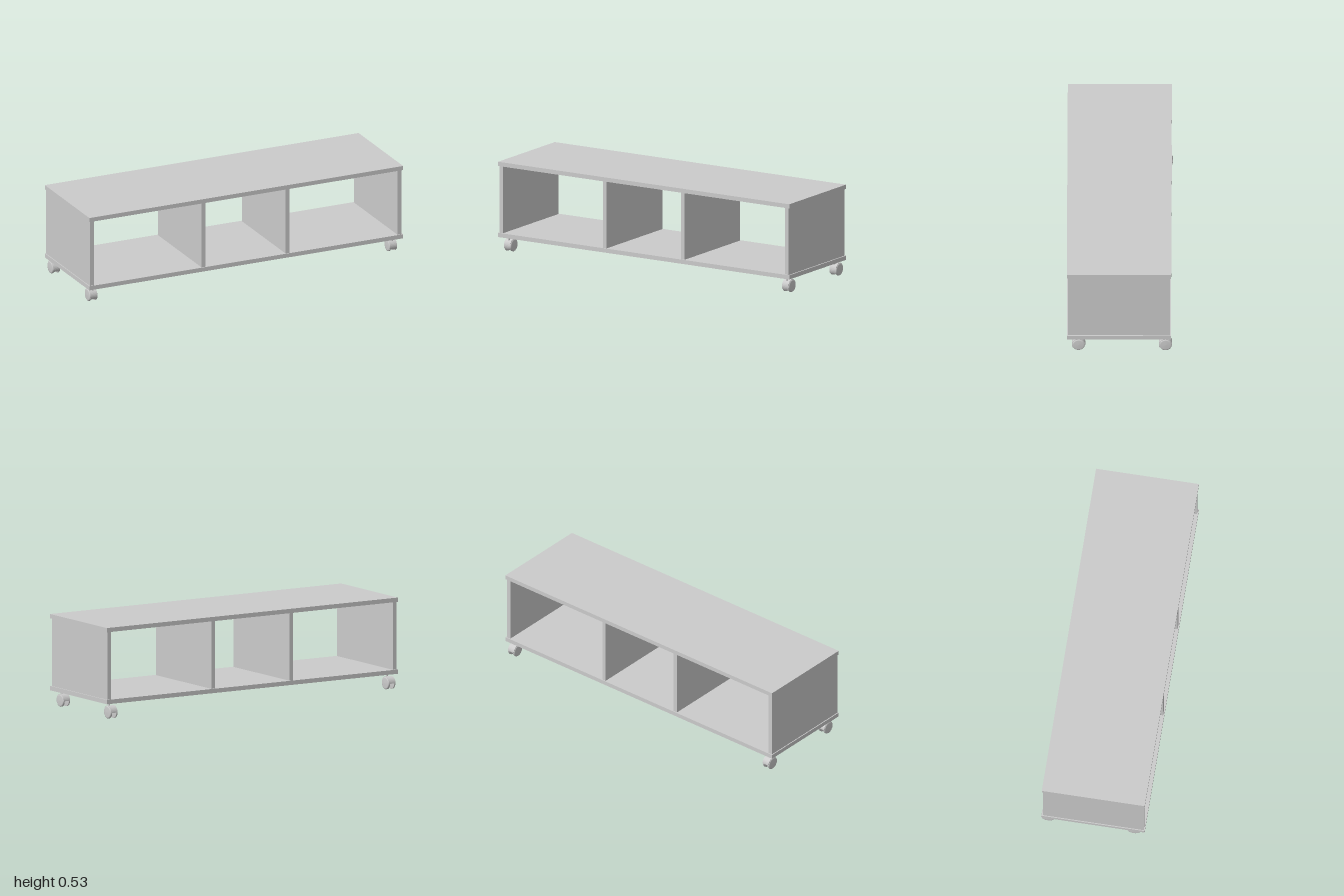
import * as THREE from 'three';

const material = new THREE.MeshStandardMaterial({ color: 0xcccccc, side: THREE.DoubleSide });

function addMesh(parent, name, geometry, x = 0, y = 0, z = 0) {
  const mesh = new THREE.Mesh(geometry, material);
  mesh.name = name;
  mesh.position.set(x, y, z);
  parent.add(mesh);
  return mesh;
}

// Twin-wheel caster, with its origin on the floor below the axle
function createCaster() {
  const caster = new THREE.Group();
  const axleY = 0.037;

  // Curved hood over both wheels, longer at the front
  const arc = new THREE.Shape();
  arc.absarc(0, 0, 0.0385, -0.5, Math.PI, false);
  arc.absarc(0, 0, 0.0345, Math.PI, -0.5, true);
  const hood = new THREE.ExtrudeGeometry(arc, { depth: 0.044, bevelEnabled: false, curveSegments: 10 });
  hood.translate(0, 0, -0.022).rotateY(-Math.PI / 2);
  addMesh(caster, 'hood', hood, 0, axleY, 0);

  // Wheels with rounded outer rims
  const profile = [[0, 0], [0.036, 0], [0.0365, 0.003], [0.0365, 0.008], [0.034, 0.011], [0.029, 0.0125], [0, 0.0135]]
    .map(([r, h]) => new THREE.Vector2(r, h));
  for (const side of [-1, 1]) {
    const wheel = new THREE.LatheGeometry(profile, 16);
    wheel.rotateZ(-side * Math.PI / 2);
    addMesh(caster, side > 0 ? 'leftWheel' : 'rightWheel', wheel, side * 0.0135, axleY, 0);
  }

  // Axle and upright stem
  const axle = new THREE.CylinderGeometry(0.008, 0.008, 0.03, 12).rotateZ(Math.PI / 2);
  addMesh(caster, 'axle', axle, 0, axleY, 0);
  addMesh(caster, 'stem', new THREE.CylinderGeometry(0.0065, 0.0065, 0.04, 12), 0, 0.072, 0.0185);
  return caster;
}

export function createModel() {
  const model = new THREE.Group();
  model.name = 'rollingShelfUnit';

  // Top and bottom boards
  const board = new THREE.BoxGeometry(2, 0.025, 0.6);
  addMesh(model, 'topBoard', board, 0, 0.5225, 0.005);
  addMesh(model, 'bottomBoard', board, 0, 0.1025, 0.005);

  // End panels and dividers, slightly set back from the board edges
  const panel = new THREE.BoxGeometry(0.025, 0.395, 0.588);
  const names = ['rightPanel', 'rightDivider', 'leftDivider', 'leftPanel'];
  [-0.982, -0.27, 0.265, 0.98].forEach((x, i) => addMesh(model, names[i], panel, x, 0.3125, 0.005));

  // Casters at the four corners
  for (const x of [-0.957, 0.953]) {
    for (const z of [0.237, -0.264]) {
      const caster = createCaster();
      caster.name = (z > 0 ? 'front' : 'back') + (x > 0 ? 'Left' : 'Right') + 'Caster';
      caster.position.set(x, 0, z);
      model.add(caster);
    }
  }
  return model;
}
